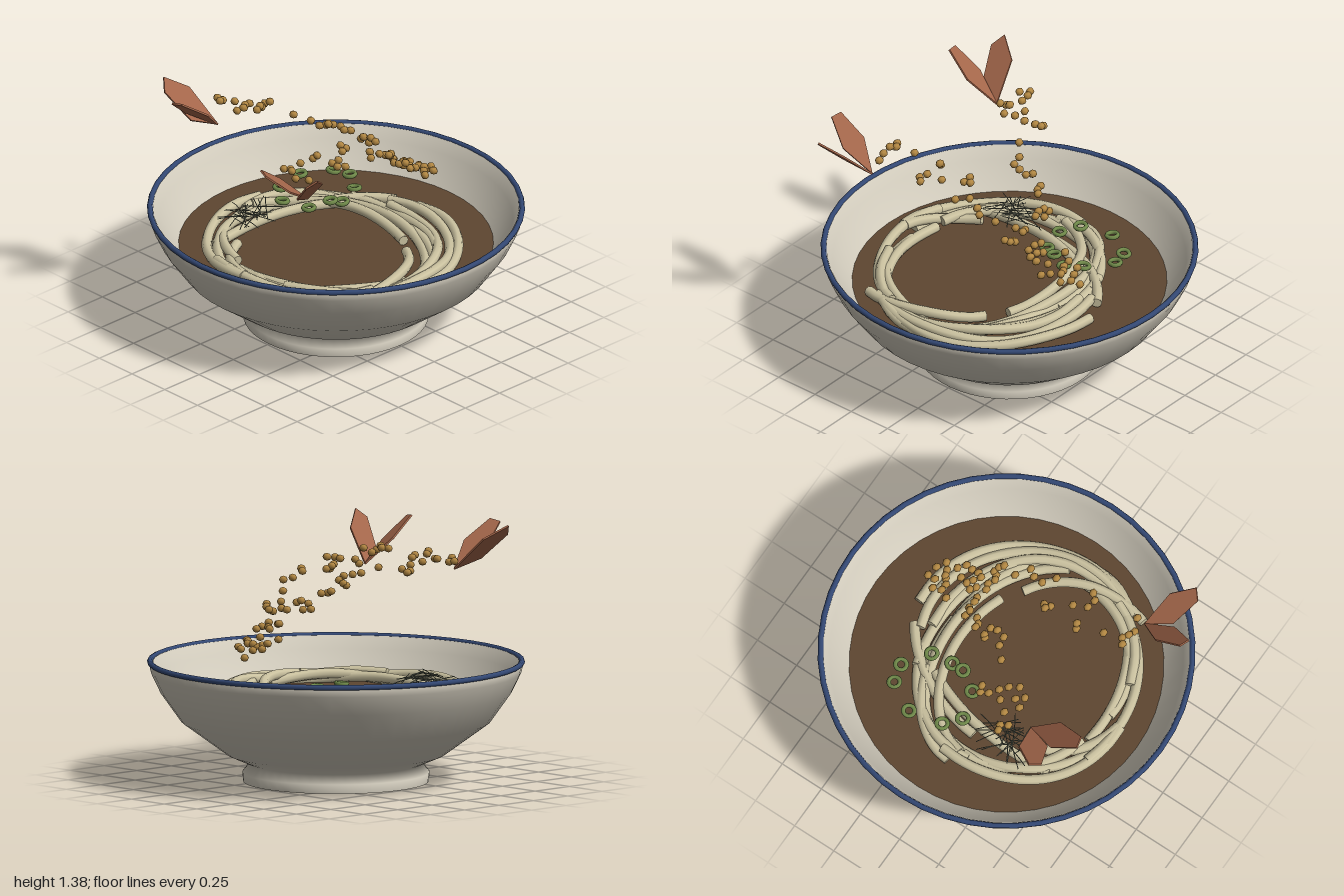
import * as THREE from 'three';
import { mergeGeometries } from 'three/addons/utils/BufferGeometryUtils.js';
import { ConvexGeometry } from 'three/addons/geometries/ConvexGeometry.js';

const V = (x, y, z) => new THREE.Vector3(x, y, z);
const paint = (name, color) => {
  const m = new THREE.MeshStandardMaterial({ color });
  m.name = name;
  return m;
};

// Small repeatable random source
function seeded(seed) {
  return () => {
    seed = (seed * 16807) % 2147483647;
    return seed / 2147483647;
  };
}

// Tube along a curve with flat closed ends
function cappedTube(curve, segments, radius, sides) {
  const parts = [new THREE.TubeGeometry(curve, segments, radius, sides)];
  for (const t of [0, 1]) {
    const dir = curve.getTangent(t).multiplyScalar(t ? 1 : -1);
    const cap = new THREE.CircleGeometry(radius, sides);
    cap.applyQuaternion(new THREE.Quaternion().setFromUnitVectors(V(0, 0, 1), dir));
    const p = curve.getPoint(t);
    cap.translate(p.x, p.y, p.z);
    parts.push(cap);
  }
  return mergeGeometries(parts);
}

// Thin plate: pointed base, wide middle, narrow blunt end
function blade(base, end, half) {
  const mid = base.clone().lerp(end, 0.52);
  const offset = end.clone().sub(base).cross(half).setLength(0.005);
  const outline = [
    base,
    mid.clone().add(half),
    end.clone().addScaledVector(half, 0.45),
    end.clone().addScaledVector(half, -0.45),
    mid.clone().sub(half),
  ];
  return new ConvexGeometry(outline.flatMap((p) => [p.clone().add(offset), p.clone().sub(offset)]));
}

// Linear interpolation through [key, value] rows with falling keys
function follow(rows, k) {
  for (let i = 1; i < rows.length; i++) {
    const [k0, v0] = rows[i - 1], [k1, v1] = rows[i];
    if (k >= k1) return THREE.MathUtils.lerp(v0, v1, Math.max(0, (k0 - k) / (k0 - k1)));
  }
  return rows[rows.length - 1][1];
}

export function createModel() {
  const model = new THREE.Group();
  const rand = seeded(71);
  const glaze = paint('bowl glaze', 0xd0cabb);
  const blue = paint('rim blue', 0x334874);
  const broth = paint('broth brown', 0x5e4631);
  const dough = paint('noodle cream', 0xcbc2a0);
  const green = paint('scallion green', 0x708a4a);
  const herb = paint('shred grey green', 0x6a7060);
  const nut = paint('grain gold', 0xb38843);
  const copper = paint('blade copper', 0xa3664a);

  const add = (name, geometry, material, parent = model) => {
    const mesh = new THREE.Mesh(geometry, material);
    mesh.name = name;
    parent.add(mesh);
    return mesh;
  };

  // Bowl: outer wall, lip and inner wall in one profile
  const profile = [
    [0.49, 0], [0.495, 0.05], [0.457, 0.097], [0.58, 0.15], [0.82, 0.325], [0.93, 0.48],
    [0.98, 0.585], [0.99, 0.635], [0.965, 0.638], [0.935, 0.57], [0.83, 0.43], [0.7, 0.3],
  ].map(([x, y]) => new THREE.Vector2(x, y));
  add('bowl', new THREE.LatheGeometry(profile, 48), glaze);
  add('bowlBase', new THREE.CircleGeometry(0.49, 48).rotateX(Math.PI / 2), glaze);
  add('rim', new THREE.TorusGeometry(0.983, 0.015, 8, 48).rotateX(Math.PI / 2), blue).position.y = 0.637;
  add('broth', new THREE.CircleGeometry(0.833, 48).rotateX(-Math.PI / 2), broth).position.y = 0.432;

  // Noodles: elliptical arcs [centre x, centre z, radius x, radius z, start, end]
  const arcs = [
    [0.08, 0.05, 0.62, 0.63, -95, 35], [0.1, 0.08, 0.58, 0.6, -110, 20],
    [0.05, 0.1, 0.6, 0.55, -100, 70], [0.05, 0.12, 0.65, 0.48, -95, 30],
    [0, 0.15, 0.66, 0.5, -150, -20], [0.2, 0.3, 0.42, 0.5, -65, 20],
    [0, 0.05, 0.62, 0.42, 180, 275], [0.05, 0.05, 0.62, 0.5, 170, 250],
    [0, 0.12, 0.56, 0.4, 185, 300], [0.25, 0.15, 0.68, 0.78, 185, 240],
    [0.2, 0.3, 0.6, 0.9, 165, 220], [-0.02, 0.1, 0.58, 0.61, 85, 190],
    [0.02, 0.1, 0.55, 0.58, 95, 200], [0, 0.1, 0.55, 0.5, 105, 180],
    [0, 0.1, 0.64, 0.6, 20, 110], [0, 0.08, 0.67, 0.53, -10, 100],
    [0.1, 0.08, 0.5, 0.54, 0, 95], [0.1, 0.3, 0.42, 0.4, 100, 160],
    [0.1, 0.1, 0.7, 0.5, 190, 240], [0, 0.25, 0.75, 0.68, -112, -50],
  ];
  const noodles = new THREE.Group();
  noodles.name = 'noodles';
  model.add(noodles);
  arcs.forEach(([cx, cz, rx, rz, a0, a1], i) => {
    const pts = [];
    for (let k = 0; k <= 10; k++) {
      const a = THREE.MathUtils.degToRad(a0 + ((a1 - a0) * k) / 10);
      const y = 0.455 + 0.011 * (i % 3) + 0.014 * Math.sin(a * 4 + i * 1.9);
      pts.push(V(cx + rx * Math.cos(a), y, cz + rz * Math.sin(a)));
    }
    add('noodle', cappedTube(new THREE.CatmullRomCurve3(pts), 32, 0.028, 8), dough, noodles);
  });

  // Scallion rings [x, z, y]
  const rings = [
    [-0.45, -0.41, 0.545], [-0.35, -0.435, 0.55], [-0.54, -0.255, 0.547], [-0.5, -0.07, 0.545],
    [-0.41, 0, 0.525], [-0.21, -0.335, 0.557], [-0.185, -0.22, 0.525], [-0.195, -0.145, 0.555],
    [-0.255, -0.045, 0.525],
  ];
  for (const [x, z, y] of rings) {
    const ring = add('scallionRing', new THREE.TorusGeometry(0.03, 0.012, 6, 16), green);
    ring.position.set(x, y, z);
    ring.rotation.set(Math.PI / 2 + (rand() - 0.5) * 0.3, (rand() - 0.5) * 0.3, 0);
  }

  // Tangle of fine shreds
  const shreds = [];
  for (let i = 0; i < 26; i++) {
    const a = rand() * Math.PI * 2, len = 0.06 + rand() * 0.06;
    const c = V(-0.39 + (rand() - 0.5) * 0.14, 0.54 + rand() * 0.04, 0.27 + (rand() - 0.5) * 0.22);
    const d = V(Math.cos(a) * len, (rand() - 0.5) * 0.05, Math.sin(a) * len);
    const bend = V((rand() - 0.5) * 0.05, 0.01, (rand() - 0.5) * 0.05).add(c);
    const curve = new THREE.QuadraticBezierCurve3(c.clone().sub(d), bend, c.clone().add(d));
    shreds.push(new THREE.TubeGeometry(curve, 4, 0.0025, 4));
  }
  add('shreds', mergeGeometries(shreds), herb);

  // Two falling trails of grains: [x, z] spots, height follows z
  const leftTrail = [
    [-0.42, 0.12], [-0.4, 0.16], [-0.36, 0.2], [-0.41, 0.24], [-0.33, 0.24], [-0.56, 0.33],
    [-0.51, 0.36], [-0.46, 0.3], [-0.53, 0.32], [-0.37, 0.31], [-0.34, 0.35], [-0.3, 0.29],
    [-0.39, 0.35], [-0.39, 0.11], [-0.21, 0.11], [-0.14, 0.05], [-0.12, -0.06], [-0.075, -0.13],
    [-0.05, -0.155], [-0.085, 0.04], [-0.13, -0.05], [-0.075, -0.05], [-0.1, -0.13],
    [-0.07, -0.01], [-0.05, -0.23], [0, -0.24], [0.03, -0.225], [0.06, -0.23], [-0.02, -0.22],
  ];
  const rightTrail = [
    [0.39, 0.57], [0.25, 0.57], [0.22, 0.47], [0.28, 0.59], [0.32, 0.6], [0.22, 0.59],
    [0.19, 0.32], [0.3, 0.315], [0.35, 0.325], [0.38, 0.295], [0.17, 0.33], [0.27, 0.24],
    [0.17, 0.13], [0.2, 0.145], [0.19, 0.11], [0.29, 0.03], [0.35, 0.08], [0.3, -0.03],
    [0.33, -0.07], [0.27, -0.13], [0.3, -0.22], [0.24, -0.23], [0.17, -0.235], [0.14, -0.225],
    [0.2, -0.21], [0.25, -0.25], [0.28, -0.24], [0.17, -0.33], [0.22, -0.37], [0.14, -0.35],
    [0.24, -0.42], [0.2, -0.45], [0.13, -0.48], [0.2, -0.52], [0.09, -0.52], [0.1, -0.57],
    [0.04, -0.5], [0.09, -0.45], [0.15, -0.55], [0.12, -0.47], [0.05, -0.45], [0.16, -0.49],
    [0.11, -0.31], [0.2, -0.3], [0.14, -0.29], [0.02, -0.4], [0.22, -0.33], [0.16, -0.4],
  ];
  const leftDrop = [[0.38, 1.215], [0.28, 1.195], [0.1, 1.14], [0, 1.1], [-0.13, 1.03], [-0.24, 0.95]];
  const rightDrop = [
    [0.6, 1.155], [0.3, 1.125], [0.05, 1.1], [-0.1, 1.02], [-0.2, 0.95], [-0.26, 0.89],
    [-0.35, 0.83], [-0.45, 0.76], [-0.57, 0.72],
  ];
  const grainShape = new THREE.SphereGeometry(0.026, 6, 4).scale(1, 0.8, 0.85);
  const grains = new THREE.Group();
  grains.name = 'grains';
  model.add(grains);
  for (const [spots, drop] of [[leftTrail, leftDrop], [rightTrail, rightDrop]]) {
    for (const [x, z] of spots) {
      const grain = add('grain', grainShape, nut, grains);
      grain.position.set(x, follow(drop, z) + (rand() - 0.5) * 0.04, z);
      grain.rotation.y = (rand() - 0.5) * 0.8;
    }
  }

  // Paired blades above each trail: base, end, half width
  const leftBase = V(-0.43, 1.13, 0.45), rightBase = V(0.41, 1.055, 0.6);
  add('leftInnerBlade', blade(leftBase, V(-0.425, 1.36, 0.755), V(0.07, 0.012, -0.015)), copper);
  add('leftOuterBlade', blade(leftBase, V(-0.655, 1.345, 0.63), V(0.06, -0.06, 0.05)), copper);
  add('rightInnerBlade', blade(rightBase, V(0.37, 1.29, 0.885), V(0.062, -0.012, 0.02)), copper);
  add('rightOuterBlade', blade(rightBase, V(0.635, 1.285, 0.785), V(0.05, 0.05, -0.045)), copper);

  return model;
}
